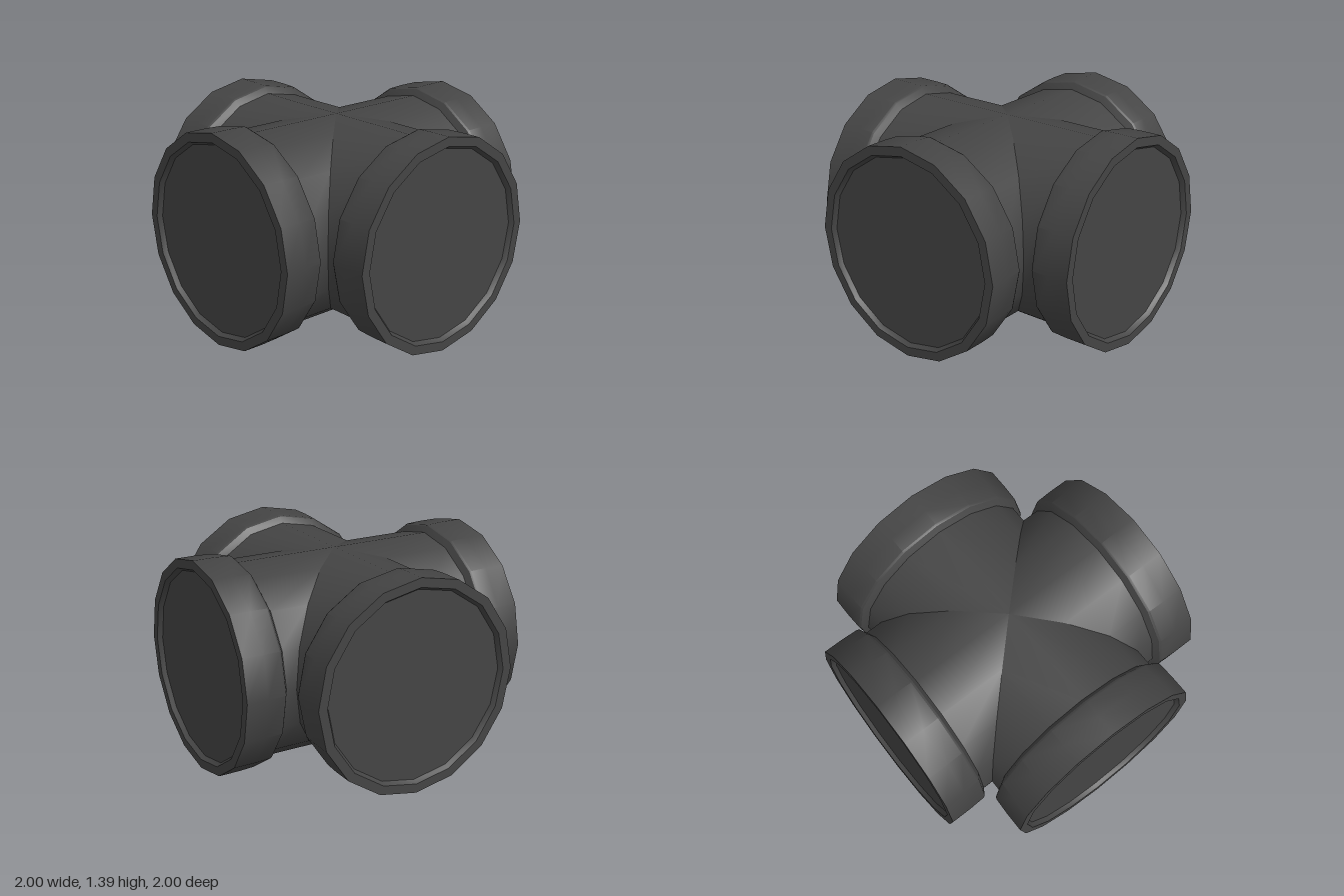
import * as THREE from 'three';
import { toCreasedNormals } from 'three/addons/utils/BufferGeometryUtils.js';

const SIDES = 16;
const AXIS_Y = 0.697;
const PIPE_R = 0.642;

// Turned part along +z from [radius, distance] pairs
function turned(profile, adjust) {
  const geo = new THREE.LatheGeometry(profile.map(([r, d]) => new THREE.Vector2(r, d)), SIDES);
  if (adjust) adjust(geo.attributes.position);
  geo.rotateX(Math.PI / 2);
  return toCreasedNormals(geo, 0.5);
}

export function createModel() {
  const group = new THREE.Group();
  const plastic = new THREE.MeshStandardMaterial({ color: 0x444444 });
  plastic.name = 'dark grey plastic';

  // Pipe whose inner end is cut to a mitre, so four of them meet in a cross
  const pipeGeo = turned([[PIPE_R, 0], [PIPE_R, 0.72]], (pos) => {
    for (let i = 0; i < pos.count; i++) {
      if (pos.getY(i) < 0.01) pos.setY(i, Math.abs(pos.getX(i)));
    }
  });

  // Socket collar with a chamfered shoulder, flat rim and shallow recessed end
  const collarGeo = turned([
    [PIPE_R, 0.71], [0.685, 0.736], [0.692, 0.75], [0.697, 0.86], [0.697, 1],
    [0.637, 1], [0.618, 0.97], [0, 0.97],
  ]);

  ['front', 'left', 'back', 'right'].forEach((side, i) => {
    const arm = new THREE.Group();
    arm.name = side + 'Arm';
    const pipe = new THREE.Mesh(pipeGeo, plastic);
    pipe.name = 'pipe';
    const collar = new THREE.Mesh(collarGeo, plastic);
    collar.name = 'collar';
    arm.add(pipe, collar);
    arm.position.y = AXIS_Y;
    arm.rotation.y = i * Math.PI / 2;
    group.add(arm);
  });
  return group;
}
